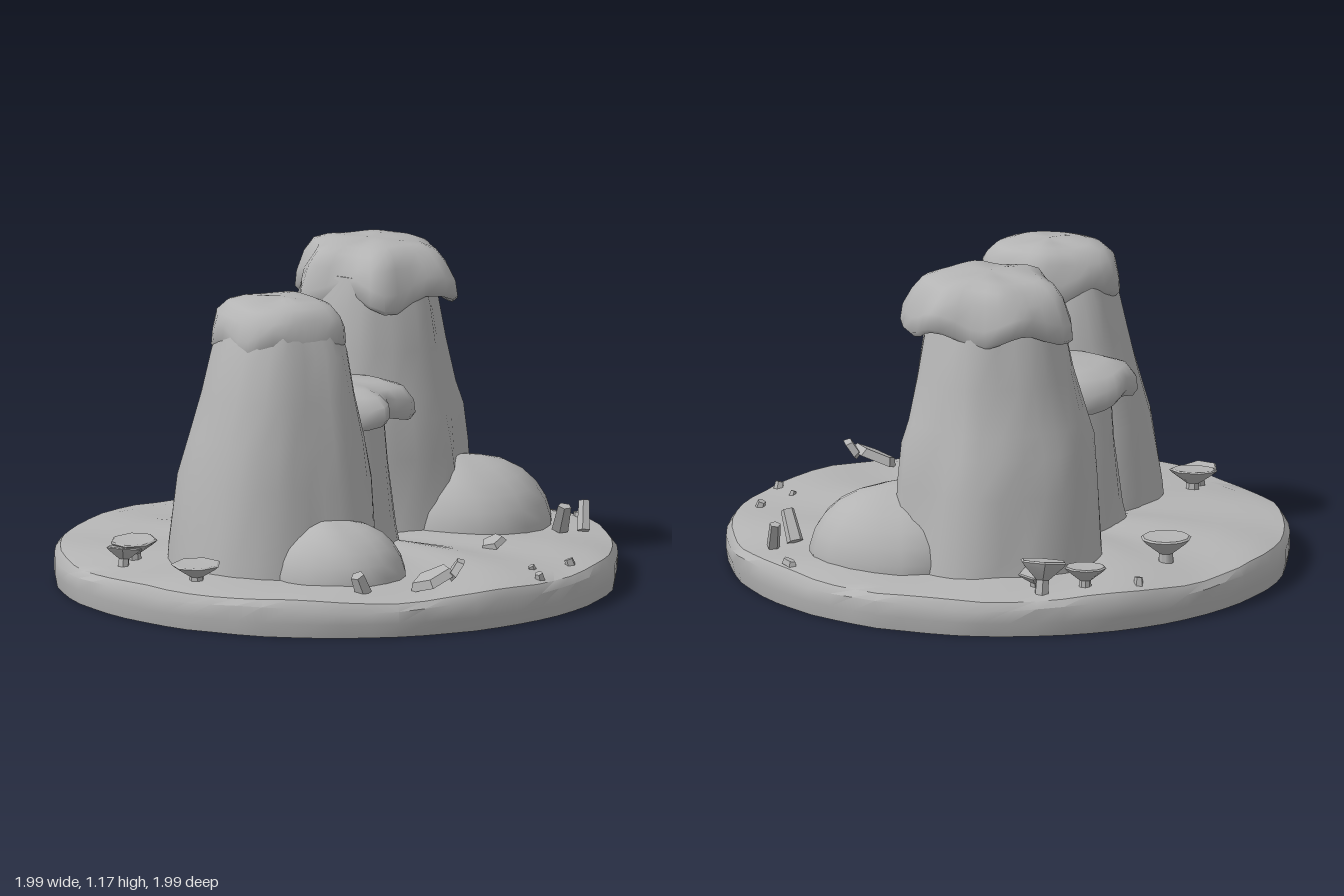
import * as THREE from 'three';
import { toCreasedNormals } from 'three/addons/utils/BufferGeometryUtils.js';

const stone = new THREE.MeshStandardMaterial({ color: 0xb4b4b4 });
stone.name = 'grey stone';
const thinStone = stone.clone();
thinStone.side = THREE.DoubleSide;

// Deterministic lumpiness from a position
const lump = (x, y, z) =>
  Math.sin(9 * x + 4 * y + 1) * Math.sin(8 * z - 5 * y + 2) + 0.5 * Math.sin(17 * x - 13 * z + 9 * y);

// Closed outline [x, z] lofted through levels [y, scale, centreX, centreZ], closed on top.
// wave(angle, level) shifts heights; rough pushes the walls in and out.
function loft(outline, levels, { seg = 32, rough = 0, wave = () => 0, crease = 0.7 } = {}) {
  const curve = new THREE.CatmullRomCurve3(outline.map(([x, z]) => new THREE.Vector3(x, 0, z)), true);
  const ring = curve.getPoints(seg).slice(0, seg);
  const pos = [], idx = [];
  levels.forEach(([y, s, cx, cz], j) => ring.forEach((p) => {
    const a = Math.atan2(p.z, p.x);
    const k = s * (1 + rough * lump(p.x * 2, y, p.z * 2));
    pos.push(cx + p.x * k, y + wave(a, j), cz + p.z * k);
  }));
  for (let j = 0; j < levels.length - 1; j++) {
    for (let i = 0; i < seg; i++) {
      const n = (i + 1) % seg, a = j * seg + i, b = j * seg + n;
      idx.push(a, a + seg, b, b, a + seg, b + seg);
    }
  }
  const last = levels[levels.length - 1], top = (levels.length - 1) * seg;
  pos.push(last[2], last[0] + 0.004, last[3]);
  for (let i = 0; i < seg; i++) idx.push(levels.length * seg, top + ((i + 1) % seg), top + i);
  const g = new THREE.BufferGeometry();
  g.setAttribute('position', new THREE.Float32BufferAttribute(pos, 3));
  g.setIndex(idx);
  return toCreasedNormals(g, crease);
}

const circle = (n, r = 1) => Array.from({ length: n }, (_, i) => {
  const a = (i / n) * Math.PI * 2;
  return [r * Math.cos(a), r * Math.sin(a)];
});

export function createModel() {
  const model = new THREE.Group();
  const add = (name, geometry, material = stone, parent = model) => {
    const m = new THREE.Mesh(geometry, material);
    m.name = name;
    parent.add(m);
    return m;
  };

  // Round ground slab with a soft, uneven rim
  add('ground', loft(circle(40), [
    [0, 0.985, 0, 0], [0.05, 0.995, 0, 0], [0.1, 0.995, 0, 0], [0.128, 0.975, 0, 0],
    [0.14, 0.9, 0, 0], [0.148, 0.75, 0, 0], [0.158, 0.5, 0, 0], [0.165, 0.25, 0, 0],
  ], { seg: 64, rough: 0.004, wave: (a, j) => (j > 1 ? 0.006 * Math.sin(9 * a + j) + 0.004 * Math.sin(5 * a) : 0) }));
  const underside = add('underside', new THREE.CircleGeometry(0.985, 64));
  underside.rotation.x = Math.PI / 2;

  // Tall back pillar
  add('backPillar', loft(
    [[0.37, 0.1], [0.27, 0.25], [0.1, 0.36], [-0.14, 0.35], [-0.32, 0.24], [-0.37, 0.08],
      [-0.37, -0.14], [-0.24, -0.28], [-0.02, -0.37], [0.16, -0.31], [0.31, -0.2], [0.34, -0.04]],
    [[0.1, 1.04, -0.06, -0.39], [0.2, 1.0, -0.06, -0.39], [0.42, 0.94, -0.06, -0.385], [0.56, 0.9, -0.06, -0.37],
      [0.64, 0.84, -0.06, -0.365], [0.8, 0.75, -0.05, -0.36], [0.95, 0.67, -0.045, -0.355], [1.06, 0.58, -0.04, -0.355]],
    { rough: 0.025 }));
  add('backPillarCap', loft(
    [[0.31, -0.04], [0.23, 0.1], [0.15, 0.24], [-0.01, 0.22], [-0.15, 0.24], [-0.23, 0.09],
      [-0.32, -0.05], [-0.22, -0.16], [-0.14, -0.24], [0, -0.23], [0.14, -0.24], [0.22, -0.15]],
    [[1.0, 0.7, -0.04, -0.36], [0.96, 0.96, -0.04, -0.36], [0.975, 1.02, -0.04, -0.36], [1.03, 1.0, -0.04, -0.36],
      [1.09, 0.9, -0.04, -0.36], [1.135, 0.78, -0.04, -0.36], [1.155, 0.6, -0.04, -0.36], [1.162, 0.3, -0.04, -0.36]],
    { rough: 0.02, crease: 1.1, wave: (a, j) => (j < 4 ? 0.026 * Math.sin(5 * a + 0.6) : 0.004 * Math.sin(3 * a)) }));

  // Front pillar
  add('frontPillar', loft(
    [[0.36, -0.14], [0.37, 0.02], [0.28, 0.15], [0.17, 0.28], [-0.02, 0.34], [-0.2, 0.27],
      [-0.34, 0.12], [-0.37, -0.08], [-0.31, -0.22], [-0.12, -0.28], [0.1, -0.28], [0.27, -0.25]],
    [[0.1, 1.04, -0.05, 0.42], [0.2, 1.0, -0.05, 0.42], [0.45, 0.91, -0.05, 0.415], [0.6, 0.83, -0.045, 0.41],
      [0.75, 0.74, -0.04, 0.4], [0.9, 0.65, -0.035, 0.39], [1.0, 0.54, -0.035, 0.385]],
    { rough: 0.025 }));
  add('frontPillarCap', loft(
    [[0.24, -0.04], [0.19, 0.07], [0.12, 0.15], [0, 0.21], [-0.13, 0.15], [-0.22, 0.08],
      [-0.25, -0.03], [-0.17, -0.13], [-0.04, -0.2], [0.09, -0.18], [0.17, -0.14]],
    [[0.93, 0.7, -0.04, 0.38], [0.905, 0.95, -0.04, 0.385], [0.925, 1.02, -0.04, 0.385], [0.98, 1.0, -0.04, 0.385],
      [1.03, 0.93, -0.04, 0.385], [1.065, 0.78, -0.04, 0.375], [1.08, 0.58, -0.04, 0.365], [1.086, 0.3, -0.04, 0.36]],
    { rough: 0.02, crease: 1.1, wave: (a, j) => (j < 4 ? 0.022 * Math.sin(5 * a + 2) : 0.004 * Math.sin(3 * a)) }));

  // Low pillar joining the two tall ones
  add('middlePillar', loft(
    [[0.31, 0], [0.25, 0.14], [0, 0.2], [-0.25, 0.14], [-0.32, 0], [-0.25, -0.14], [0, -0.2], [0.25, -0.14]],
    [[0.1, 1.08, -0.07, 0.06], [0.22, 1.0, -0.07, 0.06], [0.45, 0.94, -0.07, 0.06], [0.66, 0.86, -0.07, 0.06]],
    { rough: 0.03 }));
  add('middlePillarCap', loft(
    [[0.3, 0], [0.35, 0.1], [0.24, 0.17], [0, 0.19], [-0.25, 0.19], [-0.35, 0.13],
      [-0.34, 0], [-0.33, -0.13], [-0.22, -0.2], [0, -0.16], [0.2, -0.2], [0.34, -0.13]],
    [[0.64, 0.75, -0.07, 0.06], [0.605, 0.96, -0.07, 0.06], [0.63, 1.01, -0.07, 0.06], [0.675, 1.0, -0.07, 0.06],
      [0.71, 0.9, -0.07, 0.06], [0.73, 0.7, -0.07, 0.06], [0.736, 0.35, -0.07, 0.06]],
    { rough: 0.02, crease: 1.1, wave: (a, j) => (j < 4 ? 0.015 * Math.sin(6 * a + 1) : 0) }));

  // Half-buried boulders: x, y, z, then radii
  [['backBoulder', 0.26, 0.13, -0.48, 0.32, 0.26, 0.3], ['frontBoulder', 0.25, 0.13, 0.51, 0.26, 0.21, 0.225]]
    .forEach(([name, x, y, z, rx, ry, rz]) => {
      const g = new THREE.SphereGeometry(1, 20, 8, 0, Math.PI * 2, 0, Math.PI * 0.6);
      const p = g.attributes.position;
      for (let i = 0; i < p.count; i++) {
        const k = 1 + 0.025 * lump(p.getX(i) * 0.4, p.getY(i) * 0.4, p.getZ(i) * 0.4);
        p.setXYZ(i, p.getX(i) * rx * k, p.getY(i) * ry * k, p.getZ(i) * rz * k);
      }
      g.computeVertexNormals();
      add(name, g).position.set(x, y, z);
    });

  // Small flared fungi: x, z, radius, top height, tilt, sides
  [[-0.68, -0.33, 0.09, 0.235, 0, 11], [-0.5, -0.72, 0.075, 0.215, 0.05, 9], [-0.37, -0.82, 0.09, 0.25, 0.2, 6],
    [-0.33, -0.76, 0.06, 0.2, -0.2, 5], [-0.5, 0.59, 0.085, 0.215, 0.1, 7], [-0.5, 0.68, 0.07, 0.2, -0.15, 6],
    [-0.13, 0.84, 0.09, 0.21, 0.05, 7]].forEach(([x, z, r, top, tilt, sides], i) => {
    const h = top - 0.125;
    const profile = [[r * 0.3, 0], [r * 0.28, h * 0.45], [r * 0.85, h * 0.82], [r, h * 0.95], [r * 0.92, h], [0, h * 0.96]];
    const g = new THREE.LatheGeometry(profile.map(([a, b]) => new THREE.Vector2(a, b)), sides);
    const m = add('fungus', toCreasedNormals(g, 0.6), thinStone);
    m.position.set(x, 0.125, z);
    m.rotation.set(tilt, i * 0.7, 0, 'XYZ');
  });

  // Tilted stone chips: x, y, z, size, then rotation
  [[0.66, 0.18, 0.56, 0.15, 0.03, 0.13, 0.15, 0.4, 0.35], [0.73, 0.21, 0.52, 0.07, 0.025, 0.1, 0.2, 0.3, 0.9],
    [0.46, 0.17, 0.73, 0.05, 0.07, 0.06, 0.3, 0.5, 0.2], [0.55, 0.165, -0.13, 0.08, 0.02, 0.08, 0.2, 0.7, 0.3],
    [0.66, 0.2, -0.46, 0.05, 0.12, 0.03, 0.6, 0.3, -0.4], [0.69, 0.19, -0.57, 0.04, 0.11, 0.03, -0.5, 0.2, 0.2],
    [0.58, 0.15, -0.75, 0.06, 0.02, 0.03, 0.1, -0.6, 0.2], [-0.67, 0.15, -0.63, 0.03, 0.03, 0.05, 0.2, 0.4, 0],
    [0.91, 0.14, 0.22, 0.03, 0.03, 0.04, 0.2, 0.5, 0.1], [0.9, 0.14, -0.04, 0.03, 0.03, 0.05, 0, 0.2, 0.3],
    [0.83, 0.145, 0.12, 0.02, 0.02, 0.03, 0.3, 0, 0.2]].forEach(([x, y, z, w, h, d, rx, ry, rz]) => {
    const g = new THREE.CylinderGeometry(0.5, 0.62, 1, 5).scale(w, h, d);
    const m = add('stoneChip', toCreasedNormals(g, 0.4));
    m.position.set(x, y, z);
    m.rotation.set(rx, ry, rz);
  });

  return model;
}
